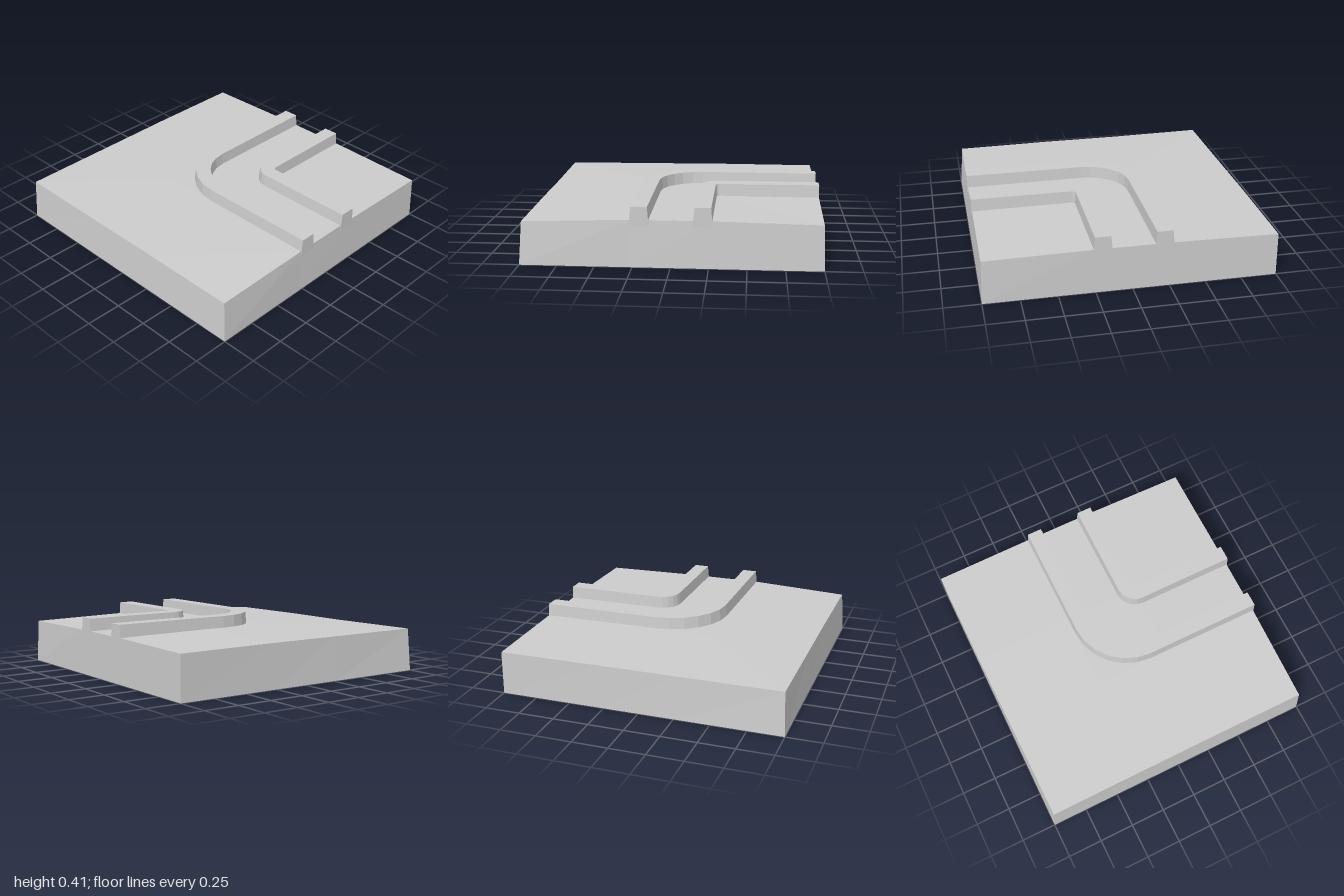
import * as THREE from 'three';

const material = new THREE.MeshStandardMaterial({ color: 0xcccccc, flatShading: true });

function mesh(name, geometry) {
  const flat = geometry.toNonIndexed();
  flat.computeVertexNormals();
  const m = new THREE.Mesh(flat, material);
  m.name = name;
  return m;
}

// Square slab whose uneven top falls away from the rails and is slightly drawn in
function slabGeometry() {
  const lines = [-1, -0.28, 0.27, 1];
  const heights = [ // rows run back to front, columns run -x to +x
    [0.305, 0.317, 0.317, 0.305],
    [0.308, 0.323, 0.32, 0.317],
    [0.306, 0.321, 0.32, 0.317],
    [0.304, 0.297, 0.297, 0.29],
  ];
  const leftInset = [0.003, 0.006, 0.012, 0.02];
  const rightInset = [0.008, 0.01, 0.012, 0.023];
  const frontInset = [0.013, 0.017, 0.018, 0.018];
  const backInset = [0, 0.001, 0.002, 0.009];
  const geo = new THREE.BoxGeometry(2, 2, 2, 3, 1, 3);
  const p = geo.attributes.position;
  for (let i = 0; i < p.count; i++) {
    const c = Math.round((p.getX(i) + 1) * 1.5);
    const r = Math.round((p.getZ(i) + 1) * 1.5);
    let x = lines[c], y = 0, z = lines[r];
    if (p.getY(i) > 0) {
      y = heights[r][c];
      if (c === 0) x += leftInset[r];
      if (c === 3) x -= rightInset[r];
      if (r === 0) z += backInset[c];
      if (r === 3) z -= frontInset[c];
    }
    p.setXYZ(i, x, y, z);
  }
  return geo;
}

// Tapered rail: straight from the back edge, a quarter turn, straight to the +x edge
function railGeometry(cx, cz, inner, outer, segments) {
  const section = [[outer, 0.28], [outer - 0.012, 0.405], [inner + 0.01, 0.405], [inner, 0.28]];
  const stations = [r => [cx - r, -0.998]];
  for (let i = 0; i <= segments; i++) {
    const t = (i / segments) * Math.PI / 2;
    stations.push(r => [cx - r * Math.cos(t), cz + r * Math.sin(t)]);
  }
  stations.push(r => [0.993, cz + r]);

  const pos = [], index = [];
  for (const at of stations) {
    for (const [r, y] of section) {
      const [x, z] = at(r);
      pos.push(x, y, z);
    }
  }
  const last = (stations.length - 1) * 4;
  for (let s = 0; s < last; s += 4) {
    for (let j = 0; j < 4; j++) {
      const a = s + j, b = s + (j + 1) % 4;
      index.push(a, a + 4, b + 4, a, b + 4, b);
    }
  }
  index.push(0, 1, 2, 0, 2, 3, last, last + 2, last + 1, last, last + 3, last + 2);
  const geo = new THREE.BufferGeometry();
  geo.setAttribute('position', new THREE.Float32BufferAttribute(pos, 3));
  geo.setIndex(index);
  return geo;
}

export function createModel() {
  const group = new THREE.Group();
  group.name = 'curvedTrackTile';
  group.add(
    mesh('groundSlab', slabGeometry()),
    mesh('outerRail', railGeometry(0.14, -0.15, 0.29, 0.42, 6)),
    mesh('innerRail', railGeometry(0.28, -0.29, 0.015, 0.145, 5)),
  );
  return group;
}
